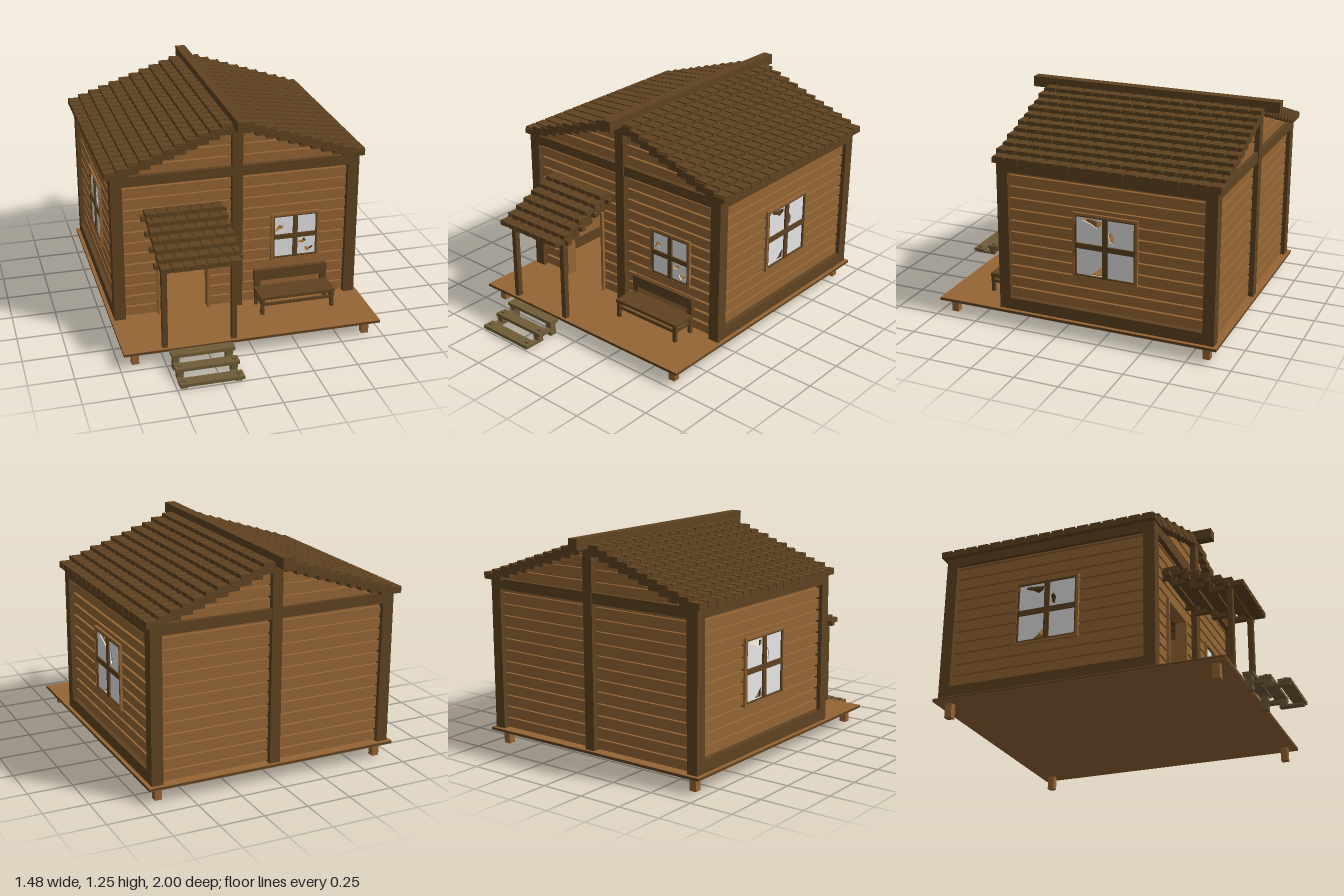
import * as THREE from 'three';

const mat = (name, color) => {
  const m = new THREE.MeshStandardMaterial({ color });
  m.name = name;
  return m;
};
const path = (Type, pts) => new Type(pts.map(([x, y]) => new THREE.Vector2(x, y)));
const rect = ([x0, x1, y0, y1]) => [[x0, y0], [x1, y0], [x1, y1], [x0, y1]];

export function createModel() {
  const dark = mat('darkTimber', 0x5f4321);
  const plank = mat('plankWood', 0x956534);
  const weathered = mat('weatheredWood', 0x705c38);
  const glass = mat('glass', 0xe6e6e6);

  const cabin = new THREE.Group();
  cabin.name = 'cabin';
  const group = (name, parent = cabin) => {
    const g = new THREE.Group();
    g.name = name;
    parent.add(g);
    return g;
  };
  // Box given by its extents on each axis
  const box = (parent, name, m, x0, x1, y0, y1, z0, z1) => {
    const mesh = new THREE.Mesh(new THREE.BoxGeometry(x1 - x0, y1 - y0, z1 - z0), m);
    mesh.position.set((x0 + x1) / 2, (y0 + y1) / 2, (z0 + z1) / 2);
    mesh.name = name;
    parent.add(mesh);
  };
  // Flat plate with holes, its front at z
  const plate = (parent, name, m, outline, holes, depth, z) => {
    const shape = path(THREE.Shape, outline);
    shape.holes = holes.map(h => path(THREE.Path, h));
    const mesh = new THREE.Mesh(new THREE.ExtrudeGeometry(shape, { depth, bevelEnabled: false }), m);
    mesh.position.z = z - depth;
    mesh.name = name;
    parent.add(mesh);
  };

  // Floor and feet
  const base = group('base');
  box(base, 'floorUnderside', plank, -0.73, 0.73, 0.08, 0.082, -0.91, 0.735);
  box(base, 'floorEdge', dark, -0.73, 0.73, 0.082, 0.094, -0.91, 0.735);
  box(base, 'floorBoards', plank, -0.73, 0.73, 0.094, 0.097, -0.91, 0.735);
  for (const s of [-1, 1]) for (const z of [0.67, -0.84])
    box(base, 'foot', plank, s * 0.66 - 0.02, s * 0.66 + 0.02, 0, 0.08, z - 0.02, z + 0.02);

  // Wall facing +z: a thin core with openings, clad in horizontal boards
  const addWall = (name, outline, openings, rows, halfAt) => {
    const g = group(name);
    plate(g, 'wallCore', plank, outline, openings.map(rect), 0.02, 0);
    for (let i = 0; i < rows; i++) {
      const y0 = 0.105 + i * 0.0655, y1 = y0 + 0.052, half = halfAt(y1);
      const cuts = openings.flatMap(o => [o[2], o[3]]).filter(y => y > y0 && y < y1);
      const ys = [y0, ...cuts, y1].sort((a, b) => a - b);
      for (let k = 0; k + 1 < ys.length; k++) {
        const mid = (ys[k] + ys[k + 1]) / 2;
        const gaps = openings.filter(o => mid > o[2] && mid < o[3]).sort((a, b) => a[0] - b[0]);
        const xs = [-half, ...gaps.flatMap(o => [o[0], o[1]]), half];
        for (let j = 0; j < xs.length; j += 2)
          box(g, 'sidingBoard', plank, xs[j], xs[j + 1], ys[k], ys[k + 1], -0.005, 0.017);
      }
    }
    return g;
  };
  const gable = [[-0.67, 0.09], [0.67, 0.09], [0.67, 0.96], [0, 1.18], [-0.67, 0.96]];
  const gableHalf = y => y < 0.96 ? 0.68 : 0.7 - (y - 0.965) / 0.341;
  const doorway = [-0.445, -0.17, 0.0955, 0.59];
  const frontWall = addWall('frontWall', gable, [doorway, [0.212, 0.484, 0.353, 0.627]], 16, gableHalf);
  frontWall.position.z = 0.315;
  const backWall = addWall('backWall', gable, [], 16, gableHalf);
  backWall.position.z = -0.85;
  backWall.rotation.y = Math.PI;

  // Four-pane window with broken holes in the glass
  const addWindow = (parent, x, y, w, h, bar, breaks) => {
    const g = group('window', parent);
    g.position.set(x, y, 0.019);
    const W = w / 2, H = h / 2, t = 0.014;
    for (const s of [-1, 1]) {
      box(g, 'trimSide', plank, s * (W - t / 2) - t / 2, s * (W - t / 2) + t / 2, -H, H, -0.02, 0.012);
      box(g, 'trimRail', plank, -W + t, W - t, s * (H - t / 2) - t / 2, s * (H - t / 2) + t / 2, -0.02, 0.012);
      const c = W - t - 0.004, d = H - t - 0.004;
      box(g, 'sashSide', dark, s * c - 0.004, s * c + 0.004, -H + t, H - t, -0.02, 0.01);
      box(g, 'sashRail', dark, -c, c, s * d - 0.004, s * d + 0.004, -0.02, 0.0095);
    }
    box(g, 'mullion', dark, -bar / 2, bar / 2, -H + t, H - t, -0.02, 0.011);
    box(g, 'transom', dark, -W + t, W - t, -bar / 2, bar / 2, -0.02, 0.0105);
    plate(g, 'panes', glass, rect([-W + t, W - t, -H + t, H - t]), breaks, 0.006, 0.001);
  };
  addWindow(frontWall, 0.348, 0.49, 0.288, 0.29, 0.027, [
    [[-0.12, 0.02], [-0.1, 0.04], [-0.075, 0.042], [-0.07, 0.065], [-0.095, 0.072], [-0.11, 0.052]],
    [[0.022, -0.055], [0.05, -0.06], [0.07, -0.042], [0.055, -0.026], [0.04, -0.038], [0.022, -0.04]],
    [[0.06, -0.095], [0.08, -0.115], [0.108, -0.09], [0.108, -0.078], [0.085, -0.088], [0.062, -0.08]]]);

  // Side walls and their windows
  for (const s of [-1, 1]) {
    const wall = addWall(s > 0 ? 'leftWall' : 'rightWall', rect([-0.5825, 0.5825, 0.09, 0.97]),
      [[-0.18, 0.18, 0.358, 0.718]], 13, () => 0.5825);
    wall.position.set(s * 0.67, 0, -0.2675);
    wall.rotation.y = s * Math.PI / 2;
    addWindow(wall, 0, 0.538, 0.375, 0.375, 0.03, [
      [[-0.13, 0.145], [-0.085, 0.13], [-0.05, 0.11], [-0.025, 0.125], [-0.02, 0.15], [-0.125, 0.16]],
      [[0.018, 0.085], [0.025, 0.045], [0.045, 0.03], [0.052, 0.07], [0.035, 0.1]],
      [[-0.085, -0.163], [-0.02, -0.163], [-0.02, -0.105], [-0.045, -0.13]]]);
  }

  // Timber frame
  const frame = group('timberFrame');
  for (const s of [-1, 1]) {
    const x0 = Math.min(s * 0.645, s * 0.71), x1 = Math.max(s * 0.645, s * 0.71);
    box(frame, 'frontCornerPost', dark, x0, x1, 0.096, 0.9, 0.295, 0.36);
    box(frame, 'backCornerPost', dark, x0, x1, 0.096, 0.9, -0.89, -0.825);
    box(frame, 'sideTopBeam', dark, x0, x1, 0.9, 0.957, -0.89, 0.36);
    box(frame, 'sideSill', dark, x0, x1, 0.096, 0.165, -0.83, 0.3);
  }
  for (const [z0, z1] of [[0.295, 0.36], [-0.89, -0.825]]) {
    box(frame, 'crossBeam', dark, -0.645, 0.645, 0.9, 0.957, z0, z1);
    box(frame, 'centrePost', dark, -0.03, 0.03, 0.096, 1.19, z0 - 0.005, z1 + 0.005);
  }
  box(frame, 'ridgeBeam', dark, -0.03, 0.03, 1.19, 1.25, -1, 0.465);

  // Stepped shingle roof: a solid strip per course, tiles laid in running bond
  const tiles = (place, from, to, count, shift) => {
    const step = (to - from) / count;
    for (let k = 0; k <= count; k++) {
      const a = Math.max(from, from + (k - shift) * step);
      const b = Math.min(to, from + (k + 1 - shift) * step - 0.012);
      if (b - a > 0.008) place(a, b);
    }
  };
  const roof = group('roof');
  for (const s of [-1, 1]) {
    for (let i = 0; i < 11; i++) {
      const out = 0.74 - i * 0.0645, top = 0.99 + i * 0.022;
      const span = (inner, outer) => s > 0 ? [inner, outer] : [-outer, -inner];
      box(roof, 'courseStrip', dark, ...span(Math.max(0, out - 0.125), out - 0.003), top - 0.038, top - 0.008, -0.912, 0.372);
      tiles((a, b) =>
        box(roof, 'shingle', dark, ...span(Math.max(0, out - 0.085), out), top - 0.036, top, a, b),
      -0.915, 0.375, 17, (i % 2) * 0.5);
    }
  }

  // Open doorway frame
  const door = group('doorFrame');
  for (const x of [-0.4525, -0.1625])
    box(door, 'doorJamb', plank, x - 0.0075, x + 0.0075, 0.096, 0.605, 0.285, 0.35);
  box(door, 'doorHead', plank, -0.445, -0.17, 0.59, 0.605, 0.285, 0.35);

  // Porch posts, stepped rafters and shingles
  const porch = group('porch');
  for (const x of [-0.5, -0.115]) {
    box(porch, 'porchPost', dark, x - 0.015, x + 0.015, 0.096, 0.6, 0.69, 0.72);
    for (let i = 0; i < 4; i++) {
      const z = 0.72 - i * 0.105, y = 0.568 + i * 0.042, back = Math.max(0.33, z - 0.13);
      box(porch, 'rafterStep', dark, x - 0.015, x + 0.015, y, y + 0.028, back, z);
      box(porch, 'rafterRiser', dark, x - 0.014, x + 0.014, y, y + 0.055, back, Math.max(0.36, z - 0.1));
    }
  }
  for (let i = 0; i < 4; i++) {
    const z = 0.7 - i * 0.11, y = 0.57 + i * 0.043;
    box(porch, 'purlin', dark, -0.55, -0.067, y, y + 0.027, z - 0.015, z + 0.015);
  }
  for (let i = 0; i < 7; i++) {
    const z = 0.787 - i * 0.061, top = 0.605 + i * 0.025;
    box(porch, 'courseStrip', dark, -0.528, -0.09, top - 0.028, top - 0.007, Math.max(0.33, z - 0.09), z - 0.006);
    tiles((a, b) =>
      box(porch, 'shingle', dark, a, b, top - 0.028, top, Math.max(0.33, z - 0.075), z),
    -0.53, -0.085, 7, (i % 2) * 0.5);
  }

  // Entry steps
  const steps = group('entrySteps');
  for (const x of [-0.46, -0.163]) {
    const a = x - 0.018, b = x + 0.018;
    box(steps, 'upperLeg', weathered, a, b, 0, 0.078, 0.76, 0.8);
    box(steps, 'upperBearer', weathered, a, b, 0.028, 0.046, 0.8, 0.9);
    box(steps, 'lowerLeg', weathered, a, b, 0, 0.028, 0.86, 0.895);
    box(steps, 'lowerBearer', weathered, a, b, 0, 0.013, 0.895, 0.99);
  }
  [[0.75, 0.81, 0.078], [0.835, 0.9, 0.045], [0.933, 1, 0.012]].forEach(([z0, z1, y], i) => {
    box(steps, 'tread', weathered, -0.485, -0.133, y, y + 0.018, z0, z1);
    if (i > 0) for (const x of [-0.46, -0.158])
      box(steps, 'peg', weathered, x - 0.01, x + 0.01, y + 0.018, y + 0.028, (z0 + z1) / 2 - 0.01, (z0 + z1) / 2 + 0.01);
  });

  // Bench
  const bench = group('bench');
  box(bench, 'seat', dark, 0.097, 0.537, 0.188, 0.206, 0.362, 0.512);
  box(bench, 'backrest', dark, 0.1, 0.533, 0.242, 0.305, 0.345, 0.372);
  box(bench, 'frontRail', dark, 0.105, 0.53, 0.149, 0.166, 0.493, 0.505);
  for (const s of [-1, 1]) {
    const x = 0.317 + s * 0.206, xb = 0.317 + s * 0.198;
    box(bench, 'backSupport', dark, xb - 0.017, xb + 0.017, 0.2, 0.25, 0.346, 0.371);
    box(bench, 'sideRail', dark, x - 0.006, x + 0.006, 0.15, 0.165, 0.37, 0.5);
    for (const z of [0.372, 0.5])
      box(bench, 'benchLeg', dark, x - 0.01, x + 0.01, 0.096, 0.19, z - 0.01, z + 0.01);
  }

  return cabin;
}
